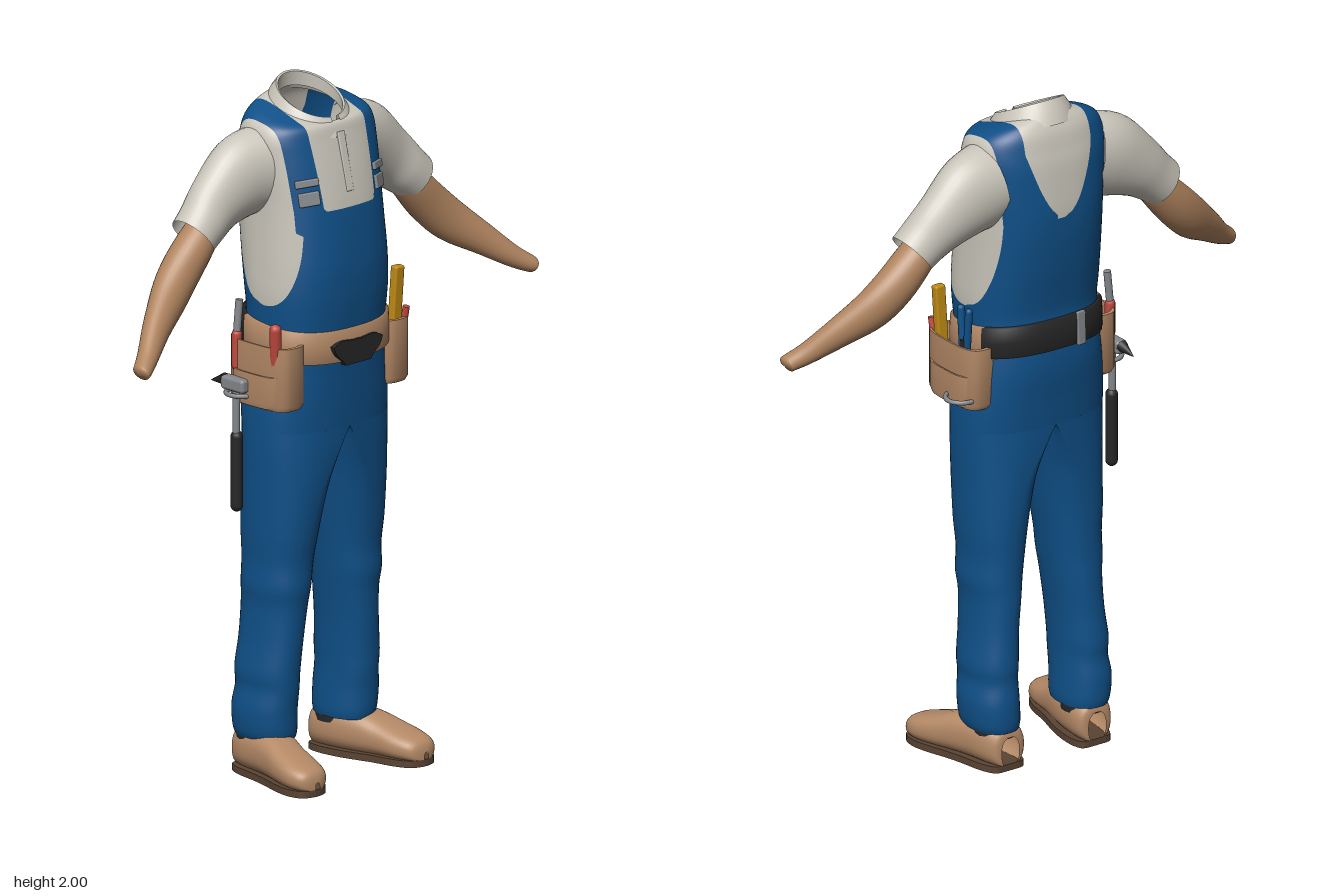
import * as THREE from 'three';
import { toCreasedNormals } from 'three/addons/utils/BufferGeometryUtils.js';
import { RoundedBoxGeometry } from 'three/addons/geometries/RoundedBoxGeometry.js';

const mat = (name, color, side = THREE.FrontSide) => Object.assign(new THREE.MeshStandardMaterial({ color, side }), { name });
const M = {
  blue: mat('denim blue', 0x0f5088, THREE.DoubleSide),
  shirt: mat('shirt grey', 0xc9c5ba, THREE.DoubleSide),
  skin: mat('skin', 0xb0845f),
  leather: mat('tan leather', 0xb58a67, THREE.DoubleSide),
  sole: mat('sole brown', 0x5a4433),
  black: mat('black', 0x262626, THREE.DoubleSide),
  steel: mat('steel', 0x84878a),
  red: mat('tool red', 0xc24a40),
  yellow: mat('tool yellow', 0xbf8a14),
};

// Resample a table of section numbers with Catmull-Rom curves, k steps per span
function smooth(t, k) {
  const out = [];
  for (let i = 0; i < t.length - 1; i++) {
    const p = [t[Math.max(i - 1, 0)], t[i], t[i + 1], t[Math.min(i + 2, t.length - 1)]];
    for (let j = 0; j < k; j++) {
      const u = j / k;
      out.push(t[i].map((_, c) => {
        const [a, b, d, e] = p.map(r => r[c]);
        return b + 0.5 * u * (d - a + u * (2 * a - 5 * b + 4 * d - e + u * (3 * (b - d) + e - a)));
      }));
    }
  }
  out.push(t[t.length - 1]);
  return out;
}

// Skin a list of point rows; rings run anticlockwise about the loft direction
function loft(rows, { closed = true, flip = false } = {}) {
  const n = rows[0].length, index = [];
  for (let i = 0; i < rows.length - 1; i++) {
    for (let j = 0; j < (closed ? n : n - 1); j++) {
      const k = (j + 1) % n, a = i * n + j, b = i * n + k, c = a + n, d = b + n;
      index.push(...(flip ? [a, d, b, a, c, d] : [a, b, d, a, d, c]));
    }
  }
  const g = new THREE.BufferGeometry();
  g.setAttribute('position', new THREE.Float32BufferAttribute(rows.flat(2), 3));
  g.setIndex(index);
  g.computeVertexNormals();
  return g;
}

// Cut a geometry along f = 0 and return the [inside, outside] pieces
function split(geo, f) {
  const P = geo.attributes.position, N = geo.attributes.normal, idx = geo.index.array;
  const verts = Array.from({ length: P.count }, (_, i) =>
    [P.getX(i), P.getY(i), P.getZ(i), N.getX(i), N.getY(i), N.getZ(i)]);
  const val = verts.map(v => f(v[0], v[1], v[2]));
  return [1, -1].map(sign => {
    const pos = [], nor = [];
    for (let t = 0; t < idx.length; t += 3) {
      const poly = [];
      for (let e = 0; e < 3; e++) {
        const a = idx[t + e], b = idx[t + (e + 1) % 3], fa = val[a] * sign, fb = val[b] * sign;
        if (fa >= 0) poly.push(verts[a]);
        if ((fa >= 0) !== (fb >= 0)) poly.push(verts[a].map((v, c) => v + (verts[b][c] - v) * fa / (fa - fb)));
      }
      for (let e = 1; e < poly.length - 1; e++) {
        for (const v of [poly[0], poly[e], poly[e + 1]]) { pos.push(...v.slice(0, 3)); nor.push(...v.slice(3)); }
      }
    }
    const g = new THREE.BufferGeometry();
    g.setAttribute('position', new THREE.Float32BufferAttribute(pos, 3));
    g.setAttribute('normal', new THREE.Float32BufferAttribute(nor, 3));
    return g;
  });
}

const sp = (v, n) => Math.sign(v) * Math.abs(v) ** (2 / n);
const ring = (n, fn) => Array.from({ length: n }, (_, i) => fn(i / n * Math.PI * 2));
// Horizontal rounded ring; tilt lowers the front edge
const bodyRing = ([y, tilt, hw, zf, zb], n = 2.5, seg = 72) => ring(seg, a => {
  const dz = (zf - zb) / 2 * sp(Math.cos(a), n);
  return [hw * sp(Math.sin(a), n), y + tilt * dz, (zf + zb) / 2 + dz];
});

// Positive where the overalls cover the torso: bib, straps and back panel
function overalls(x, y, z) {
  const ax = Math.abs(x), t = Math.max(0, (1.66 - y) / 0.28), c = 0.135 + Math.max(0, y - 1.66) * 0.06;
  if (z > -0.03) {
    const bib = Math.min(1.66 - y, 0.155 + 0.055 * t * t - ax);
    return Math.max(bib, Math.min(y - 1.6, 0.037 - Math.abs(ax - c)));
  }
  const neck = y < 1.67 ? 1.67 - y : ax - 0.113 * Math.sqrt(Math.min(1, (y - 1.67) / 0.2));
  return Math.min(neck, c + 0.037 + 0.04 * t * t - ax);
}

export function createModel() {
  const model = new THREE.Group();
  model.name = 'workwear outfit';
  const add = (name, geo, material, pos = [0, 0, 0], rot = [0, 0, 0]) => {
    const m = new THREE.Mesh(geo, material);
    m.name = name;
    m.position.set(...pos);
    m.rotation.set(...rot);
    model.add(m);
    return m;
  };

  // Torso: shirt and overalls share one surface
  const torso = smooth([
    [1.02, 0, 0.23, 0.122, -0.162], [1.1, 0, 0.228, 0.127, -0.17], [1.2, 0, 0.215, 0.132, -0.18],
    [1.3, 0, 0.205, 0.14, -0.175], [1.36, 0, 0.207, 0.146, -0.17], [1.42, 0, 0.21, 0.15, -0.177],
    [1.5, 0, 0.208, 0.15, -0.19], [1.6, 0, 0.205, 0.14, -0.202], [1.68, 0, 0.205, 0.128, -0.205],
    [1.76, 0, 0.21, 0.11, -0.2], [1.82, -0.02, 0.212, 0.095, -0.194], [1.86, -0.05, 0.21, 0.085, -0.185],
    [1.895, -0.12, 0.197, 0.078, -0.175], [1.915, -0.2, 0.17, 0.072, -0.162],
    [1.925, -0.28, 0.13, 0.066, -0.15], [1.93, -0.35, 0.096, 0.06, -0.138],
  ], 5).map(r => bodyRing(r));
  const [denim, cloth] = split(loft(torso), overalls);
  add('overall top', denim, M.blue);
  add('shirt body', cloth, M.shirt);

  // Collar: fold edge, top edge and inner stand, open at the front
  const collarRow = (rx, zc, rz, y, dy) => Array.from({ length: 41 }, (_, i) => {
    const a = 0.14 + (Math.PI * 2 - 0.28) * i / 40;
    return [rx * Math.sin(a), y - dy * Math.cos(a), zc + rz * Math.cos(a)];
  });
  add('collar', toCreasedNormals(loft([
    collarRow(0.128, -0.04, 0.13, 1.895, 0.042), collarRow(0.112, -0.038, 0.113, 1.93, 0.045),
    collarRow(0.097, -0.036, 0.096, 1.953, 0.046), collarRow(0.091, -0.036, 0.09, 1.95, 0.046),
    collarRow(0.092, -0.037, 0.092, 1.915, 0.04),
  ], { closed: false }), 1), M.shirt);
  add('placket', new RoundedBoxGeometry(0.026, 0.17, 0.008, 2, 0.003), M.shirt, [0, 1.785, 0.103], [-0.22, 0, 0]);

  // Belt: tan in front, black behind
  const beltRow = (y, o) => bodyRing([y, -0.12, 0.209 + o, 0.141 + o, -0.179 + o * -1]);
  const [beltFront, beltBack] = split(loft([
    beltRow(1.238, -0.004), beltRow(1.24, 0.008), beltRow(1.285, 0.009), beltRow(1.33, 0.007), beltRow(1.332, -0.006),
  ]), (x, y, z) => z + 0.09);
  add('front belt', beltFront, M.leather);
  add('back belt', beltBack, M.black);
  add('belt keeper', new RoundedBoxGeometry(0.03, 0.1, 0.012, 2, 0.004), M.steel, [-0.07, 1.305, -0.184], [0.05, 0.12, 0]);
  const buckle = new THREE.Shape();
  buckle.moveTo(-0.095, 1.27);
  buckle.bezierCurveTo(-0.06, 1.295, -0.03, 1.275, 0, 1.28);
  buckle.bezierCurveTo(0.03, 1.275, 0.06, 1.295, 0.095, 1.27);
  buckle.bezierCurveTo(0.085, 1.23, 0.06, 1.235, 0.05, 1.21);
  buckle.lineTo(-0.05, 1.21);
  buckle.bezierCurveTo(-0.06, 1.235, -0.085, 1.23, -0.095, 1.27);
  add('buckle', new THREE.ExtrudeGeometry(buckle, { depth: 0.016, bevelEnabled: false }), M.black, [0, 0, 0.14]);

  // Paired parts: s = 1 is the left side, s = -1 the right
  for (const s of [1, -1]) {
    const side = s > 0 ? 'left ' : 'right ';
    const mirror = rows => loft(rows.map(r => r.map(([x, y, z]) => [x * s, y, z])), { flip: s < 0 });

    // Trouser leg: half the body outline at the top, melting into an oval
    const leg = smooth([
      [0.115, 0.085, 0.222, 0.036, -0.155, 1], [0.14, 0.082, 0.23, 0.042, -0.16, 1], [0.2, 0.084, 0.234, 0.046, -0.16, 1],
      [0.26, 0.085, 0.225, 0.052, -0.152, 1], [0.31, 0.083, 0.228, 0.055, -0.154, 1], [0.4, 0.078, 0.217, 0.061, -0.147, 1],
      [0.5, 0.066, 0.213, 0.068, -0.144, 1], [0.56, 0.058, 0.219, 0.077, -0.142, 1], [0.63, 0.05, 0.216, 0.079, -0.143, 1],
      [0.72, 0.038, 0.222, 0.092, -0.147, 0.95], [0.85, 0.022, 0.225, 0.108, -0.152, 0.7],
      [0.95, 0.008, 0.229, 0.118, -0.158, 0.3], [1.02, 0, 0.23, 0.122, -0.162, 0],
    ], 4).map(([y, xi, xo, zf, zb, k]) => ring(40, a => {
      const sn = Math.sin(a), cs = Math.cos(a), half = xi + (xo - xi) * Math.max(0, sp(sn, 2.5));
      const oval = (xi + xo) / 2 + (xo - xi) / 2 * sp(sn, 2.2);
      return [half + (oval - half) * k, y, (zf + zb) / 2 + (zf - zb) / 2 * sp(cs, 2.5 - 0.3 * k)];
    }));
    add(side + 'trouser leg', mirror(leg), M.blue);

    // Shoe with sole and ankle lining
    const shoe = smooth([
      [-0.152, 0.15, 0.03, 0.1], [-0.144, 0.15, 0.052, 0.125], [-0.1, 0.155, 0.066, 0.14], [-0.03, 0.165, 0.068, 0.14],
      [0.03, 0.18, 0.067, 0.13], [0.08, 0.195, 0.067, 0.112], [0.14, 0.207, 0.067, 0.092], [0.185, 0.212, 0.054, 0.077],
      [0.203, 0.213, 0.034, 0.062], [0.21, 0.213, 0.008, 0.04],
    ], 3);
    add(side + 'shoe', mirror(shoe.map(([z, cx, hw, top]) => ring(32, a =>
      [cx + hw * sp(Math.cos(a), 2.6), (top + 0.01) / 2 + (top - 0.01) / 2 * sp(Math.sin(a), 2.4), z]))), M.leather);
    const outline = new THREE.Shape([...shoe.map(([z, cx, hw]) => new THREE.Vector2(s * (cx + hw * 0.97), -z)),
      ...shoe.slice().reverse().map(([z, cx, hw]) => new THREE.Vector2(s * (cx - hw * 0.97), -z))]);
    add(side + 'sole', new THREE.ExtrudeGeometry(outline, { depth: 0.02, bevelEnabled: false }), M.sole, [0, 0, 0], [-Math.PI / 2, 0, 0]);
    add(side + 'ankle lining', new THREE.CylinderGeometry(0.066, 0.066, 0.07, 24), M.black, [s * 0.154, 0.13, -0.082]);

    // Sleeve and forearm: rings across a path of [x, y, z, in-plane radius, depth radius]
    const limb = (table, k) => {
      const t = smooth(table, k);
      return mirror(t.map(([x, y, z, r, rz], i) => {
        const p = t[Math.max(i - 1, 0)], q = t[Math.min(i + 1, t.length - 1)];
        const l = Math.hypot(q[0] - p[0], q[1] - p[1]), nx = (p[1] - q[1]) / l, ny = (q[0] - p[0]) / l;
        return ring(32, a => [x + nx * r * Math.cos(a), y + ny * r * Math.cos(a), z + rz * Math.sin(a)]);
      }));
    };
    add(side + 'sleeve', limb([
      [0.165, 1.77, -0.065, 0.122, 0.1], [0.24, 1.75, -0.075, 0.122, 0.086], [0.33, 1.697, -0.078, 0.093, 0.072],
      [0.39, 1.65, -0.07, 0.077, 0.069], [0.43, 1.617, -0.067, 0.071, 0.068], [0.424, 1.622, -0.067, 0.06, 0.06],
    ].slice(0, 5), 5), M.shirt);
    add(side + 'forearm', limb([
      [0.39, 1.63, -0.066, 0.05, 0.052], [0.43, 1.587, -0.065, 0.057, 0.056], [0.49, 1.525, -0.06, 0.062, 0.055],
      [0.555, 1.465, -0.042, 0.06, 0.05], [0.635, 1.407, -0.005, 0.046, 0.041], [0.71, 1.35, 0.038, 0.032, 0.034],
      [0.755, 1.323, 0.063, 0.025, 0.031], [0.767, 1.317, 0.066, 0.02, 0.026], [0.772, 1.314, 0.067, 0.002, 0.002],
    ], 4), M.skin);

    // Strap buckle
    add(side + 'strap buckle', new RoundedBoxGeometry(0.07, 0.022, 0.01, 2, 0.004), M.steel, [s * 0.138, 1.745, 0.09], [-0.2, s * 0.5, 0]);
    add(side + 'strap slide', new RoundedBoxGeometry(0.062, 0.04, 0.01, 2, 0.004), M.steel, [s * 0.136, 1.7, 0.098], [-0.2, s * 0.5, 0]);

    // Tool pouch with an open top, and a smaller pocket outside it
    const pouch = (y0, y1, cx, hw, hz) => toCreasedNormals(mirror([
      [y0, 0.02], [y0, 0.92], [y0 + 0.015, 1], [y1, 1], [y1, 0.9], [y1 - 0.05, 0.85], [y1 - 0.05, 0.02],
    ].map(([y, k]) => ring(32, a => [cx + hw * k * sp(Math.sin(a), 3.2), y, hz * k * sp(Math.cos(a), 3.2)]))), 0.7);
    add(side + 'pouch', pouch(1.1, 1.285, 0.205, 0.056, 0.118), M.leather);
    add(side + 'outer pocket', pouch(1.105, 1.2, 0.225, 0.045, 0.095), M.leather);
    add(side + 'tool loop', new THREE.TorusGeometry(0.045, 0.007, 8, 20), M.steel, [s * 0.25, 1.13, -0.055], [Math.PI / 2, 0, 0]);
  }

  // Tools on the right side
  const rod = (r, h) => new THREE.CylinderGeometry(r, r, h, 16);
  add('hammer grip', new THREE.CapsuleGeometry(0.018, 0.2, 4, 14), M.black, [-0.27, 0.905, -0.055]);
  add('hammer shaft', rod(0.011, 0.16), M.steel, [-0.272, 1.08, -0.055]);
  add('hammer head', new RoundedBoxGeometry(0.036, 0.04, 0.09, 2, 0.01), M.steel, [-0.275, 1.16, -0.055]);
  add('hammer claw', new THREE.ConeGeometry(0.018, 0.06, 10), M.black, [-0.275, 1.158, -0.125], [-Math.PI / 2 - 0.25, 0, 0]);
  add('red tool', new THREE.CapsuleGeometry(0.017, 0.13, 4, 12), M.red, [-0.245, 1.275, 0.075], [0.1, 0, 0.12]);
  add('screwdriver handle', new THREE.CapsuleGeometry(0.015, 0.09, 4, 12), M.red, [-0.25, 1.25, -0.075]);
  add('screwdriver shaft', rod(0.011, 0.1), M.steel, [-0.245, 1.345, -0.075], [0, 0, -0.1]);

  // Tools on the left side
  add('folding rule', new RoundedBoxGeometry(0.034, 0.2, 0.026, 2, 0.006), M.yellow, [0.235, 1.325, 0.065], [0.05, 0, -0.03]);
  for (const d of [-1, 1]) {
    add('pliers handle', new THREE.CapsuleGeometry(0.011, 0.13, 4, 10), M.blue, [0.235, 1.325, -0.052 + d * 0.014], [d * 0.08, 0, 0]);
  }
  add('pliers joint', rod(0.014, 0.08), M.black, [0.235, 1.26, -0.052]);
  add('red marker', rod(0.01, 0.09), M.red, [0.235, 1.27, 0.098], [0.2, 0, 0]);
  return model;
}
